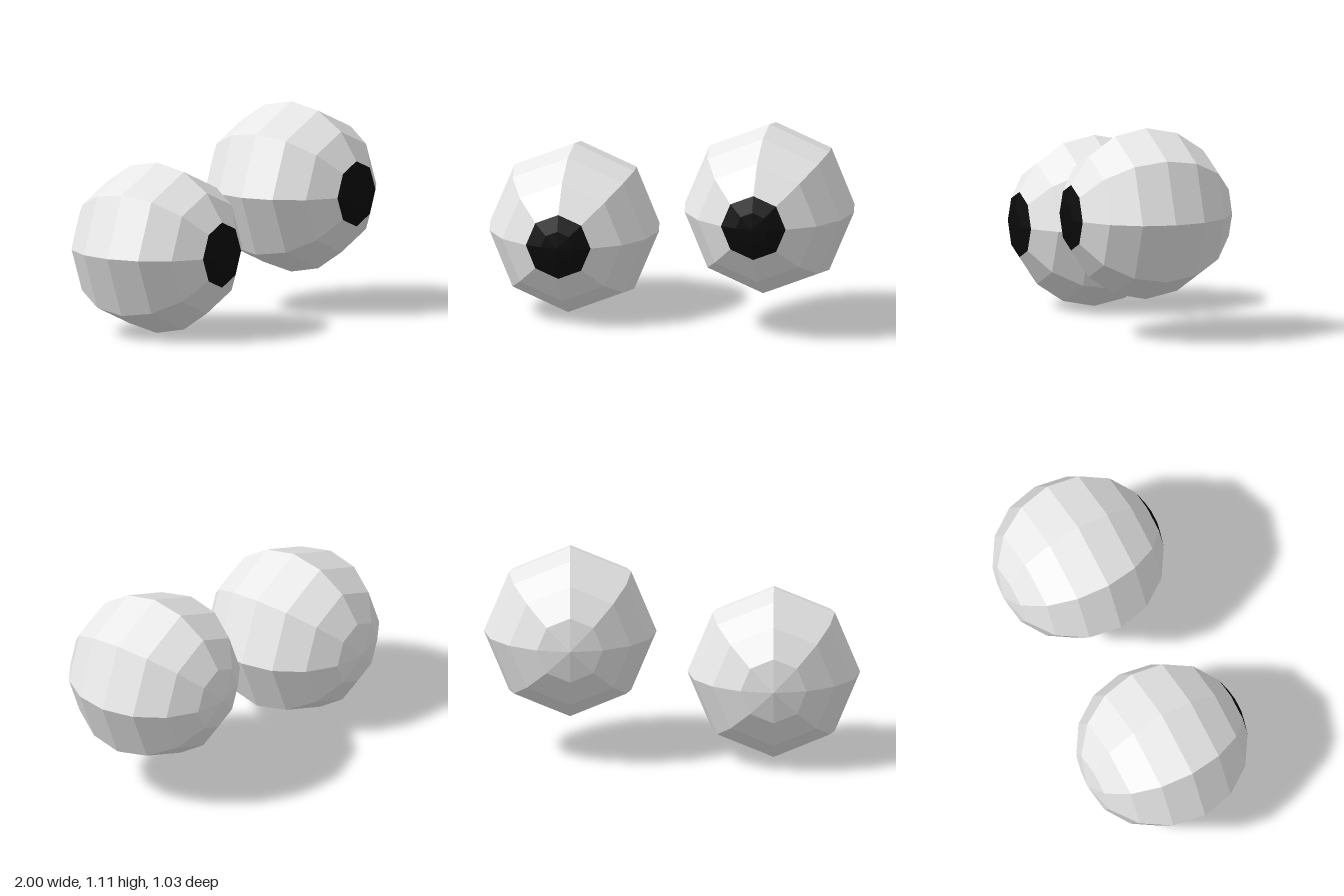
import * as THREE from 'three';

const RADIUS = 0.459;
const SIDES = 8;
const RINGS = 8;

export function createModel() {
  const white = new THREE.MeshStandardMaterial({ color: 0xe7e7e7, flatShading: true });
  white.name = 'eyeWhite';
  const black = new THREE.MeshStandardMaterial({ color: 0x0a0a0a, flatShading: true });
  black.name = 'pupilBlack';

  // Band of a low-poly sphere between two rings, its pole turned to the front
  const sphereBand = (firstRing, lastRing) => {
    const step = Math.PI / RINGS;
    const count = lastRing - firstRing;
    return new THREE.SphereGeometry(RADIUS, SIDES, count, 0, Math.PI * 2, firstRing * step, count * step)
      .rotateX(Math.PI / 2);
  };
  const pupilGeometry = sphereBand(0, 1);
  const ballGeometry = sphereBand(1, RINGS);

  // One eye: the ball and the pupil closing its front
  const makeEye = (name, x, y, z) => {
    const eye = new THREE.Group();
    eye.name = name;
    const ball = new THREE.Mesh(ballGeometry, white);
    ball.name = 'eyeball';
    const pupil = new THREE.Mesh(pupilGeometry, black);
    pupil.name = 'pupil';
    eye.add(ball, pupil);
    eye.position.set(x, y, z);
    return eye;
  };

  const model = new THREE.Group();
  model.name = 'eyes';
  model.add(makeEye('leftEye', 0.541, 0.655, 0.056));
  model.add(makeEye('rightEye', -0.541, RADIUS + 0.002, -0.056));
  return model;
}
